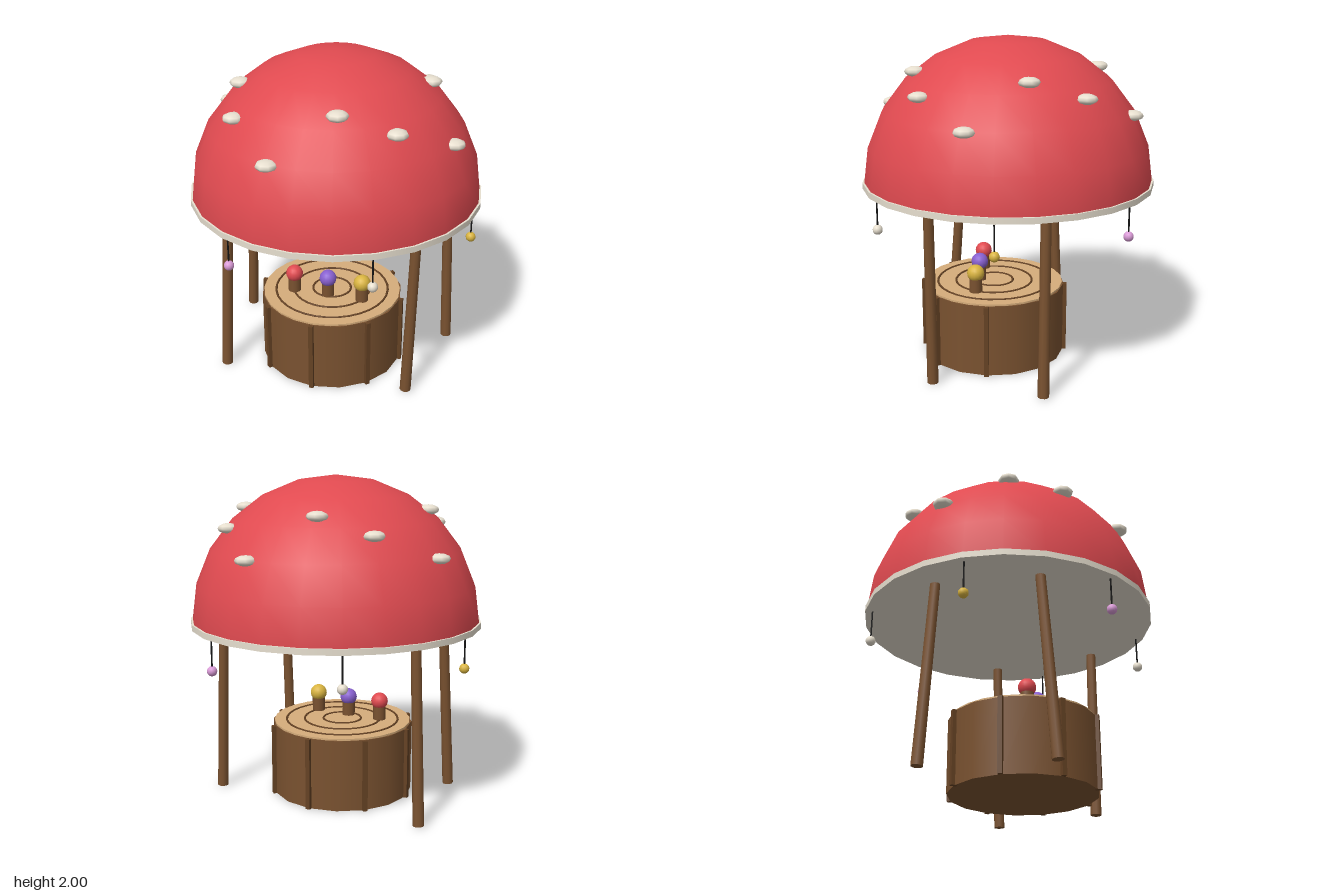
import * as THREE from 'three';

const mat = (name, color) => {
  const m = new THREE.MeshStandardMaterial({ color });
  m.name = name;
  return m;
};

export function createModel() {
  const red = mat('cap red', 0xe04a50);
  const cream = mat('cream', 0xe8e0d0);
  const wood = mat('wood brown', 0x7a5230);
  const bark = mat('dark bark', 0x654224);
  const tan = mat('cut wood tan', 0xd6ad7b);
  const yellow = mat('yellow', 0xd9b440);
  const pink = mat('pink', 0xd99ad6);
  const purple = mat('purple', 0x8860d0);
  const black = mat('string black', 0x151515);

  const model = new THREE.Group();
  model.name = 'mushroomShelter';
  const add = (name, geometry, material, x = 0, y = 0, z = 0, parent = model) => {
    const mesh = new THREE.Mesh(geometry, material);
    mesh.name = name;
    mesh.position.set(x, y, z);
    parent.add(mesh);
    return mesh;
  };

  // Cap: half a sphere on a thin pale rim that closes the underside
  const capY = 1.12, capR = 0.88;
  add('cap', new THREE.SphereGeometry(capR, 24, 6, 0, Math.PI * 2, 0, Math.PI / 2), red, 0, capY, 0);
  add('capRim', new THREE.CylinderGeometry(0.89, 0.89, 0.036, 24), cream, 0, 1.115, 0);

  // Spots: three rings of four flattened pebbles
  const spotGeo = new THREE.SphereGeometry(0.064, 8, 6);
  for (const [y, degrees] of [[1.56, 13], [1.70, 44], [1.80, 73]]) {
    const r = Math.sqrt(capR ** 2 - (y - capY) ** 2);
    for (let i = 0; i < 4; i++) {
      const a = THREE.MathUtils.degToRad(degrees + i * 90);
      const spot = add('capSpot', spotGeo, cream, r * Math.cos(a), y, r * Math.sin(a));
      spot.scale.y = 0.48;
      spot.rotation.y = -a;
    }
  }

  // Legs: leaning poles, each from a foot to a point under the rim
  const up = new THREE.Vector3(0, 1, 0);
  const legs = [
    [0.56, 0.40, 0.594, 0.40],
    [0.69, -0.265, 0.65, -0.268],
    [-0.595, 0.445, -0.57, 0.36],
    [-0.695, -0.29, -0.64, -0.245],
  ];
  for (const [fx, fz, tx, tz] of legs) {
    const foot = new THREE.Vector3(fx, 0.003, fz);
    const top = new THREE.Vector3(tx, 1.105, tz);
    const along = top.clone().sub(foot);
    const leg = add('leg', new THREE.CylinderGeometry(0.03, 0.034, along.length(), 10), wood);
    leg.position.copy(foot).lerp(top, 0.5);
    leg.quaternion.setFromUnitVectors(up, along.normalize());
  }

  // Stump table with bark ridges, cut top and growth rings
  const table = new THREE.Group();
  table.name = 'stumpTable';
  table.position.z = 0.09;
  model.add(table);
  add('stump', new THREE.CylinderGeometry(0.442, 0.442, 0.445, 16), wood, 0, 0.2225, 0, table);
  add('stumpTop', new THREE.CylinderGeometry(0.432, 0.432, 0.012, 24), tan, 0, 0.45, 0, table);
  for (let i = 0; i < 8; i++) {
    const a = i * Math.PI / 4;
    const ridge = add('barkRidge', new THREE.BoxGeometry(0.028, 0.445, 0.04), bark,
      0.442 * Math.sin(a), 0.2225, 0.442 * Math.cos(a), table);
    ridge.rotation.y = a;
  }
  for (const r of [0.12, 0.24, 0.355]) {
    const ring = add('growthRing', new THREE.TorusGeometry(r, 0.007, 6, 32), bark, 0, 0.456, 0, table);
    ring.rotation.x = Math.PI / 2;
  }

  // Three small toadstools on the table
  [[-0.22, red], [0, purple], [0.22, yellow]].forEach(([x, colour]) => {
    add('toadstoolStem', new THREE.CylinderGeometry(0.04, 0.04, 0.09, 12), wood, x, 0.5, 0.18);
    add('toadstoolHead', new THREE.SphereGeometry(0.053, 16, 12), colour, x, 0.575, 0.18);
  });

  // Six beads hanging on strings around the rim
  const beadColours = [yellow, cream, pink];
  for (let i = 0; i < 6; i++) {
    const a = i * Math.PI / 3;
    const x = 0.845 * Math.cos(a), z = 0.845 * Math.sin(a);
    add('beadString', new THREE.CylinderGeometry(0.005, 0.005, 0.18, 6), black, x, 1.01, z);
    add('bead', new THREE.SphereGeometry(0.03, 12, 10), beadColours[i % 3], x, 0.902, z);
  }

  return model;
}
